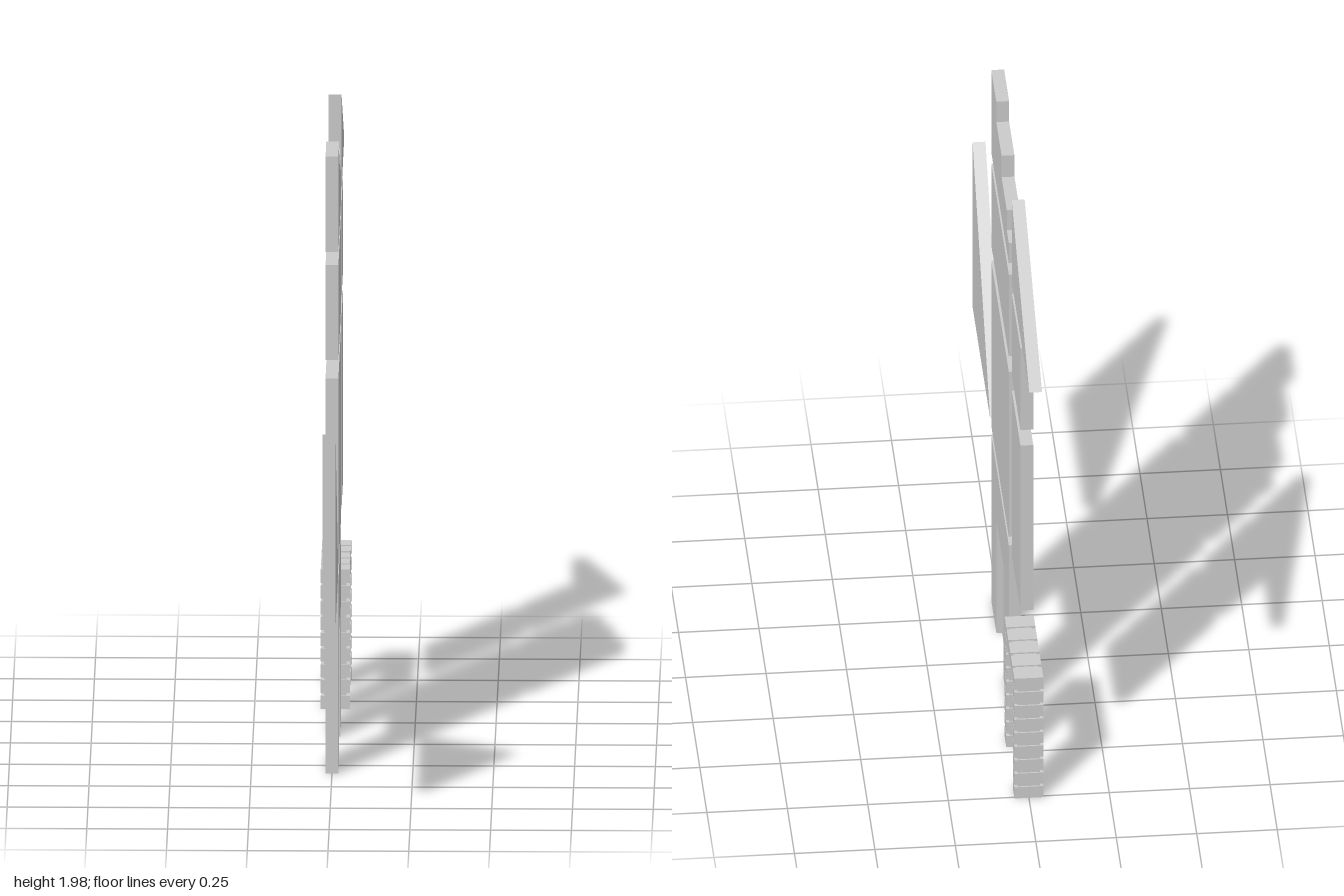
import * as THREE from 'three';

const material = new THREE.MeshStandardMaterial({ color: 0xcccccc, flatShading: true });
const THICK = 0.04;

// Flat panel of constant thickness, outlined by [z, y] points
function panel(name, points) {
  const shape = new THREE.Shape(points.map(([z, y]) => new THREE.Vector2(-z, y)));
  const geometry = new THREE.ExtrudeGeometry(shape, { depth: THICK, bevelEnabled: false });
  geometry.translate(0, 0, -THICK / 2).rotateY(Math.PI / 2);
  const mesh = new THREE.Mesh(geometry, material);
  mesh.name = name;
  return mesh;
}

const rect = (z0, z1, y0, y1) => [[z0, y0], [z1, y0], [z1, y1], [z0, y1]];

// Box centred on x = 0, given by its z and y ranges
function block(name, width, z0, z1, y0, y1) {
  const mesh = new THREE.Mesh(new THREE.BoxGeometry(width, y1 - y0, z1 - z0), material);
  mesh.position.set(0, (y0 + y1) / 2, (z0 + z1) / 2);
  mesh.name = name;
  return mesh;
}

// Brick door surround: protruding bricks over a recessed mortar core
function doorSurround() {
  const group = new THREE.Group();
  group.name = 'brickDoorSurround';
  const back = -0.757, front = -0.412, size = 0.059, top = 0.447;
  const pitch = 0.0505, gap = 0.009, width = 0.09, inset = 0.005;
  const lintel = 8 * pitch;

  // Two stacks of eight bricks
  for (const z of [back, front - size]) {
    for (let i = 0; i < 8; i++) {
      group.add(block('postBrick', width, z, z + size, i * pitch, (i + 1) * pitch - gap));
    }
    group.add(block('postMortar', width - 0.02, z + inset, z + size - inset, inset, lintel + inset));
  }

  // Five bricks across the top
  const step = (front - back - size) / 4;
  for (let i = 0; i < 5; i++) {
    const z = back + i * step;
    group.add(block('lintelBrick', width, z, z + size, lintel, top));
  }
  group.add(block('lintelMortar', width - 0.02, back + inset, front - inset, lintel + inset, top - inset));
  return group;
}

export function createModel() {
  const model = new THREE.Group();
  model.name = 'wallPanelSet';
  const F = 0.342, B = -0.275; // wide panels
  const SF = -0.38, SB = -0.685; // half-width panels

  model.add(
    panel('doorwayWall', [
      [F, 0], [0.16, 0], [0.16, 0.417], [-0.09, 0.417], [-0.09, 0], [B, 0], [B, 0.62], [F, 0.62],
    ]),
    panel('fullWall', rect(F, B, 0.652, 1.268)),
    panel('lowWall', rect(F, B, 1.326, 1.631)),
    panel('steppedWall', [
      [F, 1.674], [B, 1.674], [B, 1.749], [-0.203, 1.749], [-0.203, 1.824],
      [-0.021, 1.824], [-0.021, 1.904], [0.166, 1.904], [0.166, 1.98], [F, 1.98],
    ]),
    panel('narrowWall', rect(SF, SB, 0.652, 1.268)),
    panel('smallWall', rect(SF, SB, 1.326, 1.631)),
    panel('shallowGable', [[SF, 1.674], [-0.995, 1.674], [SF, 1.98]]),
    panel('steepGable', [[1, 0.652], [0.385, 0.652], [1, 1.268]]),
    doorSurround(),
  );
  return model;
}
